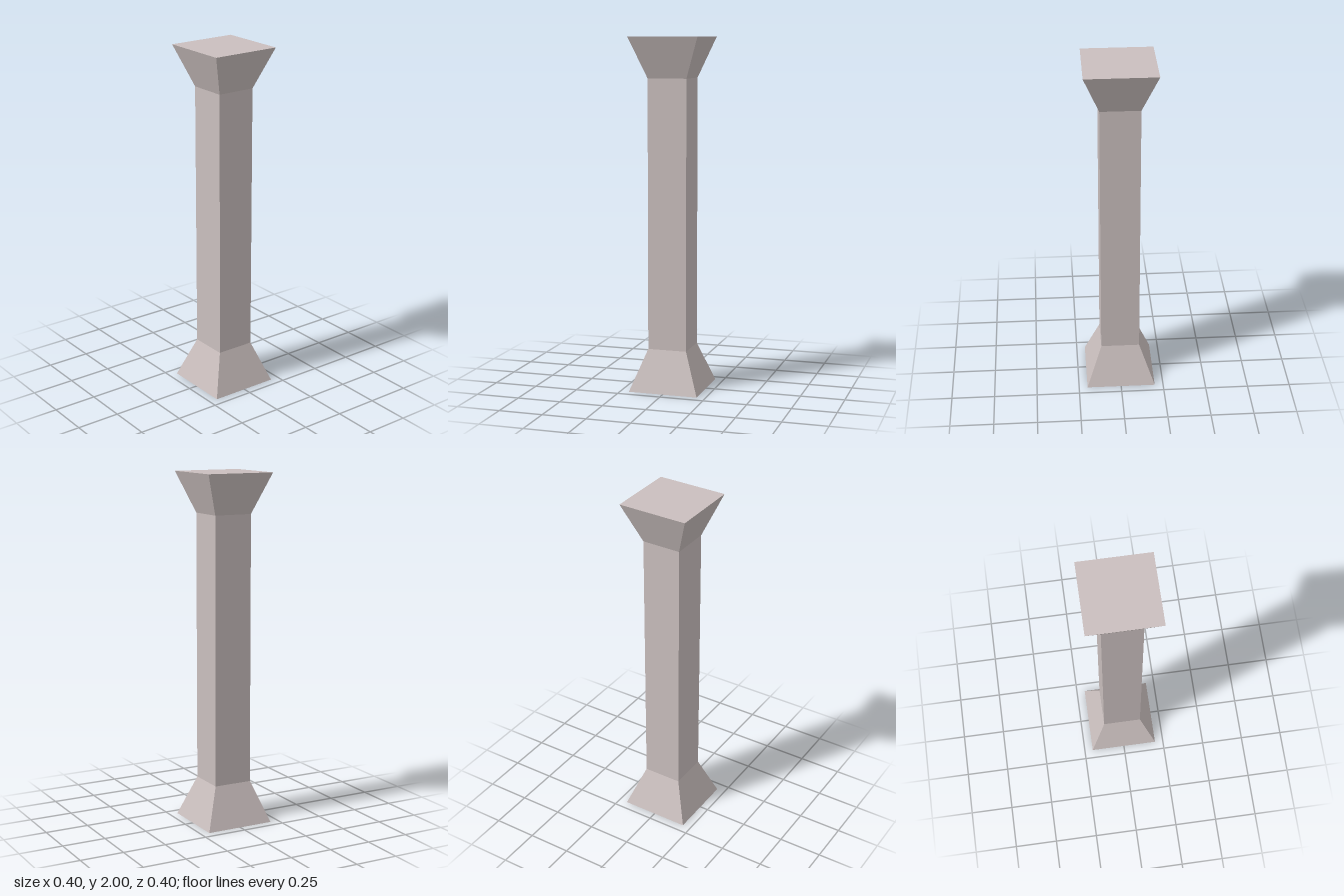
import * as THREE from 'three';

const stone = new THREE.MeshStandardMaterial({ color: 0xcabfbe, flatShading: true, side: THREE.DoubleSide });
stone.name = 'pale stone';

// Square section swept through [half width, height] pairs, bottom to top
function squarePart(name, profile) {
  const points = profile.map(([half, y]) => new THREE.Vector2(half * Math.SQRT2, y));
  const geometry = new THREE.LatheGeometry(points, 4, Math.PI / 4).toNonIndexed();
  geometry.computeVertexNormals();
  const mesh = new THREE.Mesh(geometry, stone);
  mesh.name = name;
  return mesh;
}

export function createModel() {
  const column = new THREE.Group();
  column.name = 'column';
  column.add(
    squarePart('flaredBase', [[0.2, 0], [0.112, 0.235]]), // hollow, open underneath
    squarePart('shaft', [[0.112, 0.235], [0.112, 1.77]]),
    squarePart('flaredCapital', [[0.112, 1.77], [0.2, 2], [0, 2]]) // closed on top
  );
  return column;
}
